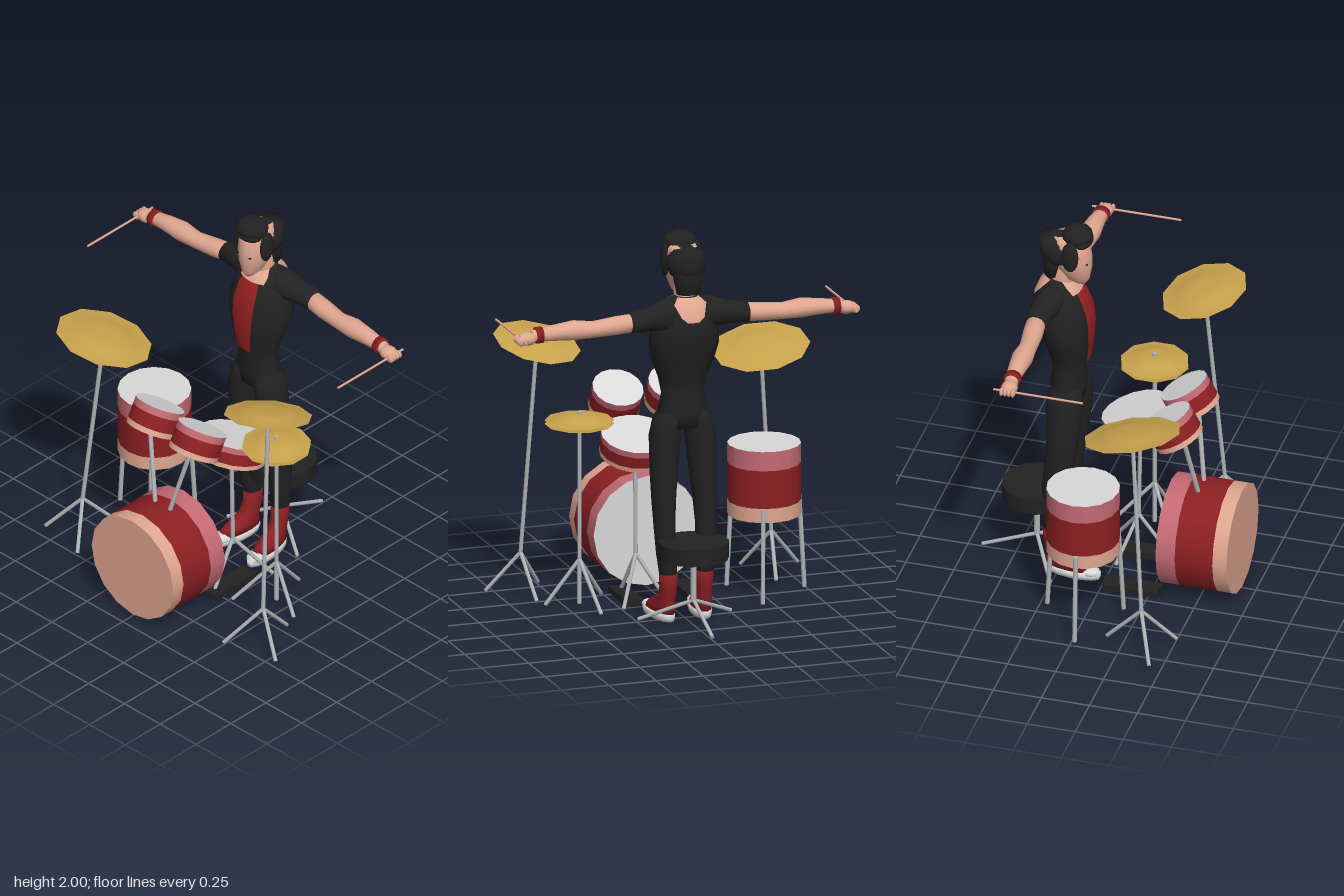
import * as THREE from 'three';

const mat = (name, color, side = THREE.FrontSide) => {
  const m = new THREE.MeshStandardMaterial({ color, side });
  m.name = name;
  return m;
};
const V = (x, y, z) => new THREE.Vector3(x, y, z);

export function createModel() {
  const root = new THREE.Group();
  root.name = 'drummerWithKit';
  const skin = mat('skin', 0xdfa68f), black = mat('black', 0x222222);
  const red = mat('red', 0x8c1f22), pink = mat('pink', 0xc46a74);
  const white = mat('white', 0xd8d8d8), steel = mat('steel', 0xb2b4b8);
  const gold = mat('gold', 0xc8a24c, THREE.DoubleSide);
  const redCloth = mat('redCloth', 0x962022, THREE.DoubleSide);
  const bareSkin = mat('bareSkin', 0xdfa68f, THREE.DoubleSide);

  const add = (name, geo, m, parent = root) => {
    const mesh = new THREE.Mesh(geo, m);
    mesh.name = name;
    parent.add(mesh);
    return mesh;
  };
  const group = (name) => {
    const g = new THREE.Group();
    g.name = name;
    root.add(g);
    return g;
  };
  const ball = (name, m, p, r, parent) => {
    const b = add(name, new THREE.SphereGeometry(1, 14, 10), m, parent);
    b.position.set(...p);
    b.scale.set(...r);
    return b;
  };
  const box = (name, m, p, s, parent) => {
    const b = add(name, new THREE.BoxGeometry(...s), m, parent);
    b.position.set(...p);
    return b;
  };
  const rod = (name, a, b, r, m = steel, parent = root) => {
    const d = b.clone().sub(a);
    const mesh = add(name, new THREE.CylinderGeometry(r, r, d.length(), 8), m, parent);
    mesh.position.copy(a).addScaledVector(d, 0.5);
    mesh.quaternion.setFromUnitVectors(V(0, 1, 0), d.normalize());
    return mesh;
  };

  // Closed skin over elliptical sections [t, a, b, ra, rb] along y or x; side -1 mirrors in x
  const loft = (secs, axis = 'y', side = 1, n = 14) => {
    const first = [...secs[0]], last = [...secs.at(-1)];
    first[3] = first[4] = last[3] = last[4] = 0;
    const rings = [first, ...secs, last], pos = [], idx = [];
    for (const [t, a, b, ra, rb] of rings)
      for (let j = 0; j < n; j++) {
        const c = Math.cos(j * 2 * Math.PI / n), s = Math.sin(j * 2 * Math.PI / n);
        if (axis === 'y') pos.push(side * (a + ra * c), t, b + rb * s);
        else pos.push(side * t, a + ra * s, b + rb * c);
      }
    for (let i = 0; i < rings.length - 1; i++)
      for (let j = 0; j < n; j++) {
        const k = (j + 1) % n;
        const p = i * n + j, q = p + n, r = (i + 1) * n + k, s = i * n + k;
        if (side > 0) idx.push(p, q, r, p, r, s);
        else idx.push(p, r, q, p, s, r);
      }
    const g = new THREE.BufferGeometry();
    g.setAttribute('position', new THREE.Float32BufferAttribute(pos, 3));
    g.setIndex(idx);
    g.computeVertexNormals();
    return g;
  };

  // ---- Drums: white head, pink / red / skin-toned bands, hung from the head centre
  const drum = (name, r, h, p, tilt, sides = 16) => {
    const g = group(name);
    let y = 0;
    for (const [part, m, f] of [['upperBand', pink, 0.27], ['shell', red, 0.53], ['lowerBand', skin, 0.2]]) {
      add(part, new THREE.CylinderGeometry(r, r, h * f, sides, 1, true), m, g).position.y = y - h * f / 2;
      y -= h * f;
    }
    add('head', new THREE.CircleGeometry(r, sides).rotateX(-Math.PI / 2), white, g);
    add('bottomHead', new THREE.CircleGeometry(r, sides).rotateX(Math.PI / 2), skin, g).position.y = -h;
    g.position.set(...p);
    g.rotation.x = tilt;
  };
  drum('bassDrum', 0.285, 0.37, [0, 0.295, 0.31], -Math.PI / 2);
  drum('floorTom', 0.185, 0.37, [-0.51, 0.795, 0], 0);
  drum('snareDrum', 0.18, 0.115, [0.135, 0.875, 0.085], -0.29);
  for (const s of [-1, 1]) {
    drum('rackTom', 0.13, 0.14, [s * 0.148, 1.05, 0.33], -0.51);
    rod('tomHolder', V(s * 0.14, 0.93, 0.41), V(s * 0.05, 0.56, 0.465), 0.012);
    box('pedal', black, [s * 0.165, 0.016, 0.155], [0.095, 0.03, 0.29]);
  }
  for (const [x, z] of [[0.08, -0.21], [-0.22, 0.02], [0.14, 0.17]])
    rod('floorTomLeg', V(-0.51 + x * 0.87, 0.5, z * 0.87), V(-0.51 + x, 0.015, z), 0.012);

  // ---- Stands: pole plus three splayed feet
  const stand = (name, top, hub, feet, r = 0.011) => {
    const g = group(name);
    rod('pole', hub, top, r, steel, g);
    for (const [x, z] of feet) rod('foot', hub, V(x, 0.015, z), 0.01, steel, g);
    return g;
  };
  stand('rightCymbalStand', V(-0.59, 1.2, 0.28), V(-0.67, 0.22, 0.35), [[-0.84, 0.44], [-0.56, 0.5], [-0.63, 0.16]]);
  stand('leftCymbalStand', V(0.585, 1.33, 0.31), V(0.64, 0.22, 0.4), [[0.8, 0.475], [0.5, 0.54], [0.62, 0.21]]);
  const hat = stand('hiHatStand', V(0.435, 1.02, 0.095), V(0.435, 0.25, 0.095), [[0.27, 0.24], [0.39, -0.11], [0.6, 0.14]]);
  rod('lowerPole', V(0.435, 0.02, 0.095), V(0.435, 0.25, 0.095), 0.012, steel, hat);
  stand('snareStand', V(0.135, 0.78, 0.11), V(0.135, 0.25, 0.1), [[0.255, -0.06], [0.0, 0.02], [0.16, 0.26]]);

  // ---- Cymbals: flat bow with a raised bell
  const cymbal = (name, r, p, normal) => {
    const prof = [[r, 0], [r * 0.68, 0.006], [r * 0.58, 0.022], [r * 0.3, 0.03], [0.001, 0.03]];
    const c = add(name, new THREE.LatheGeometry(prof.map(q => new THREE.Vector2(...q)), 10), gold);
    c.position.set(...p);
    c.quaternion.setFromUnitVectors(V(0, 1, 0), normal.normalize());
  };
  cymbal('rightCymbal', 0.25, [-0.59, 1.205, 0.28], V(0.17, 1, -0.2));
  cymbal('leftCymbal', 0.225, [0.585, 1.335, 0.31], V(-0.15, 1, -0.25));
  cymbal('hiHatTop', 0.175, [0.435, 0.975, 0.095], V(0, 1, 0));
  cymbal('hiHatBottom', 0.175, [0.435, 0.957, 0.095], V(0, -1, 0.0001));

  // ---- Stool
  add('stoolSeat', new THREE.CylinderGeometry(0.178, 0.178, 0.085, 14), black).position.set(0, 0.395, -0.39);
  stand('stoolBase', V(0, 0.36, -0.39), V(0, 0.13, -0.39), [[0, -0.675], [0.245, -0.25], [-0.245, -0.25]], 0.016);

  // ---- Torso: [y, half width, front z, back z]
  const body = [
    [1.0, 0.125, -0.14, -0.31], [1.08, 0.13, -0.13, -0.315], [1.17, 0.11, -0.14, -0.3],
    [1.25, 0.125, -0.115, -0.32], [1.34, 0.16, -0.105, -0.345], [1.43, 0.18, -0.1, -0.38],
    [1.52, 0.175, -0.11, -0.395], [1.6, 0.15, -0.14, -0.39], [1.66, 0.11, -0.185, -0.365], [1.69, 0.06, -0.22, -0.33]];
  const sections = body.map(([y, w, f, b]) => [y, 0, (f + b) / 2, w, (f - b) / 2]);
  add('torso', loft(sections, 'y', 1, 20), black);

  // Thin cloth or skin area lying on the torso; rows are [y, half width], dir picks front or back
  const panel = (name, m, rows, dir) => {
    const pos = [], idx = [], n = 8;
    rows.forEach(([y, w], i) => {
      let k = 0;
      while (k < body.length - 2 && body[k + 1][0] < y) k++;
      const u = (y - body[k][0]) / (body[k + 1][0] - body[k][0]);
      const [, rx, f, b] = body[k].map((v, q) => v + (body[k + 1][q] - v) * u);
      for (let j = 0; j <= n; j++) {
        const x = w * (j / n * 2 - 1);
        const bulge = Math.sqrt(Math.max(0, 1 - (x / rx) ** 2));
        pos.push(x, y, (f + b) / 2 + dir * ((f - b) / 2 * bulge + 0.007));
        const p = i * (n + 1) + j, q = p + n + 1;
        if (i < rows.length - 1 && j < n)
          idx.push(...(dir > 0 ? [p, p + 1, q + 1, p, q + 1, q] : [p, q + 1, p + 1, p, q, q + 1]));
      }
    });
    const g = new THREE.BufferGeometry();
    g.setAttribute('position', new THREE.Float32BufferAttribute(pos, 3));
    g.setIndex(idx);
    g.computeVertexNormals();
    add(name, g, m);
  };
  panel('shirtFront', redCloth, [[1.225, 0.04], [1.25, 0.045], [1.34, 0.056], [1.43, 0.066], [1.52, 0.07], [1.6, 0.065], [1.63, 0.055]], 1);
  panel('frontNeckline', bareSkin, [[1.63, 0.08], [1.66, 0.08], [1.69, 0.055]], 1);
  panel('backNeckline', bareSkin, [[1.575, 0.03], [1.6, 0.06], [1.66, 0.085], [1.69, 0.055]], -1);
  add('neck', loft([[1.62, 0, -0.27, 0.07, 0.07], [1.7, 0, -0.255, 0.055, 0.06], [1.8, 0, -0.24, 0.055, 0.06]]), skin);

  // ---- Head and hair
  const face = [[1.67, 0.018, -0.135, -0.19], [1.7, 0.045, -0.115, -0.25], [1.76, 0.072, -0.105, -0.29],
    [1.82, 0.084, -0.103, -0.32], [1.9, 0.085, -0.115, -0.34], [1.94, 0.065, -0.15, -0.3]];
  add('face', loft(face.map(([y, w, f, b]) => [y, 0, (f + b) / 2, w, (f - b) / 2])), skin);
  ball('hairCap', black, [0, 1.855, -0.27], [0.1, 0.092, 0.105]);
  ball('quiff', black, [0, 1.945, -0.178], [0.085, 0.055, 0.078]);
  ball('fringe', black, [0, 1.92, -0.15], [0.08, 0.03, 0.05]);
  add('backHair', loft([[1.705, 0, -0.305, 0.06, 0.045], [1.78, 0, -0.3, 0.075, 0.055], [1.86, 0, -0.3, 0.09, 0.07], [1.93, 0, -0.305, 0.075, 0.068]]), black);

  for (const s of [1, -1]) {
    ball('sideburn', black, [s * 0.084, 1.86, -0.195], [0.02, 0.085, 0.045]);
    box('eye', black, [s * 0.04, 1.805, -0.119], [0.012, 0.006, 0.008]);

    // ---- Arms, outstretched
    add('sleeve', loft([[0.04, 1.585, -0.275, 0.09, 0.08], [0.12, 1.6, -0.29, 0.082, 0.08], [0.2, 1.592, -0.305, 0.06, 0.066], [0.31, 1.583, -0.31, 0.052, 0.058]], 'x', s), black);
    add('arm', loft([[0.28, 1.582, -0.31, 0.047, 0.05], [0.38, 1.573, -0.3, 0.047, 0.052], [0.5, 1.562, -0.292, 0.042, 0.045],
      [0.6, 1.568, -0.29, 0.05, 0.055], [0.7, 1.565, -0.29, 0.041, 0.045], [0.82, 1.557, -0.285, 0.03, 0.033]], 'x', s), skin);
    add('wristband', loft([[0.768, 1.56, -0.287, 0.042, 0.045], [0.803, 1.56, -0.287, 0.041, 0.044]], 'x', s), red);
    ball('hand', skin, [s * 0.845, 1.545, -0.285], [0.05, 0.034, 0.042]);
    for (let i = 0; i < 4; i++)
      ball('finger', skin, [s * 0.884, 1.54, -0.255 - i * 0.02], [0.024, 0.022, 0.011]);
    rod('drumstick', V(s * 0.874, 1.54, -0.36), V(s * 0.874, 1.54, 0.105), 0.006, skin);

    // ---- Legs and boots
    add('leg', loft([[0.22, 0.095, -0.28, 0.043, 0.048], [0.35, 0.105, -0.275, 0.05, 0.06], [0.5, 0.11, -0.26, 0.053, 0.07],
      [0.62, 0.108, -0.245, 0.06, 0.075], [0.75, 0.103, -0.23, 0.068, 0.082], [0.95, 0.093, -0.22, 0.08, 0.092],
      [1.05, 0.08, -0.22, 0.07, 0.09], [1.1, 0.07, -0.22, 0.04, 0.06]], 'y', s), black);
    const foot = group('foot');
    foot.position.set(s * 0.095, 0, -0.28);
    foot.rotation.y = s * 0.12;
    add('boot', loft([[0.035, 0, 0.105, 0.05, 0.145], [0.075, 0, 0.075, 0.047, 0.11], [0.12, 0, 0.025, 0.043, 0.062],
      [0.18, 0, 0.002, 0.043, 0.052], [0.25, 0, 0, 0.047, 0.053]]), red, foot);
    add('sole', loft([[0, 0, 0.11, 0.05, 0.145], [0.018, 0, 0.11, 0.054, 0.152], [0.04, 0, 0.11, 0.052, 0.15]]), white, foot);
    ball('toeCap', white, [0, 0.036, 0.2], [0.044, 0.026, 0.055], foot);
  }
  return root;
}
